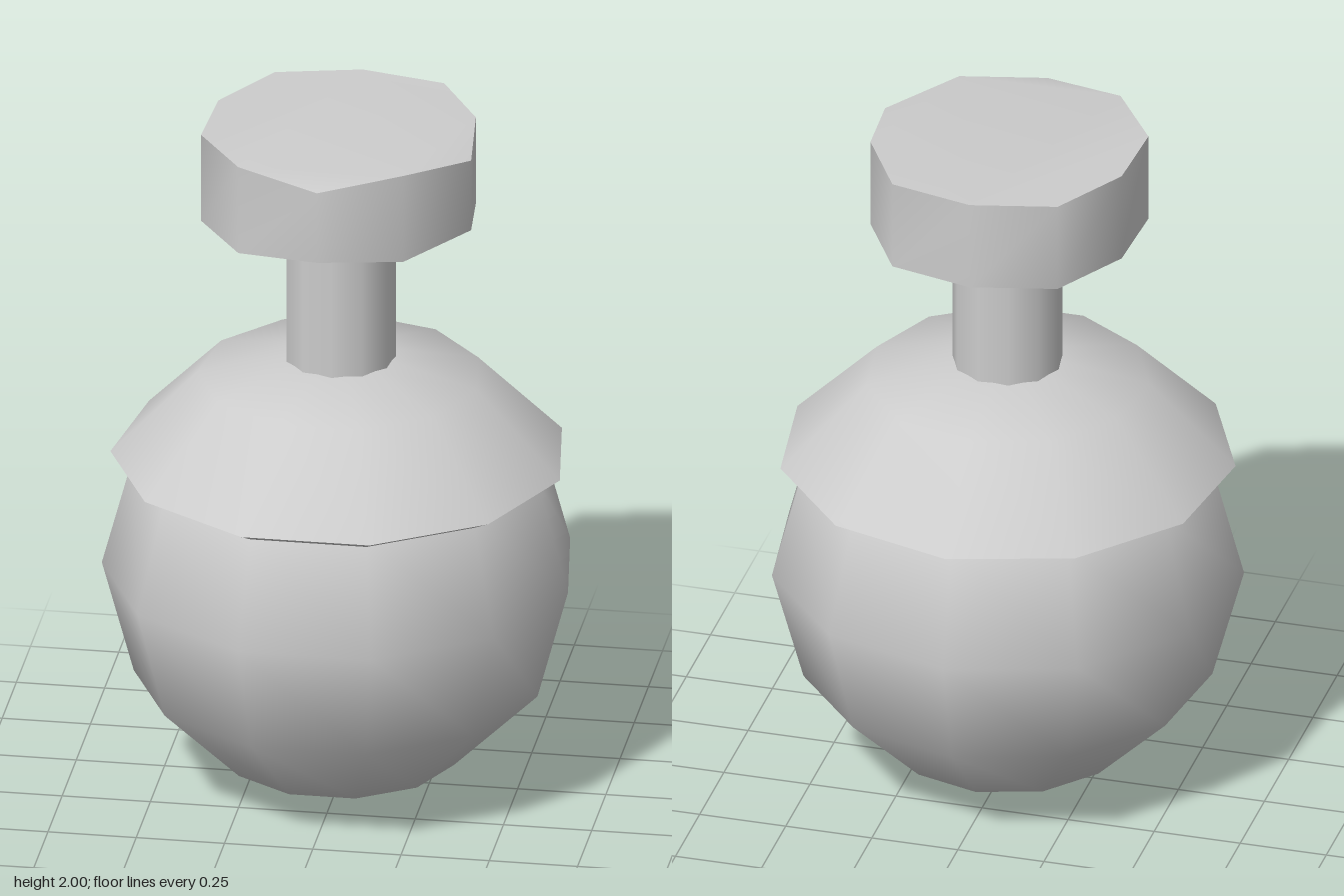
import * as THREE from 'three';
import { toCreasedNormals } from 'three/addons/utils/BufferGeometryUtils.js';

const SIDES = 11;
const CENTRE_Z = 0.014;

// Eleven-sided turned surface with a corner at the back; profile is [radius, y] from bottom to top
function turned(name, profile, material) {
  const points = profile.map(([r, y]) => new THREE.Vector2(r, y));
  const mesh = new THREE.Mesh(new THREE.LatheGeometry(points, SIDES, Math.PI), material);
  mesh.name = name;
  mesh.position.z = CENTRE_Z;
  return mesh;
}

// Irregular knob: corners [x, z, drop]; dropped corners are bevelled at top and bottom
function knobGeometry(corners, bottom, top) {
  const pos = [];
  const n = corners.length;
  const hi = ([x, z, d = 0]) => [x, top - d, z];
  const lo = ([x, z, d = 0]) => [x, bottom + d, z];
  const tri = (a, b, c) => pos.push(...a, ...b, ...c);
  const caps = (a, b, c) => {
    tri(hi(a), hi(c), hi(b));
    tri(lo(a), lo(b), lo(c));
  };
  corners.forEach((a, i) => {
    const b = corners[(i + 1) % n];
    tri(lo(b), lo(a), hi(a));
    tri(lo(b), hi(a), hi(b));
    if (a[2]) caps(corners[(i + n - 1) % n], a, b);
  });
  // Flat middle of both end faces
  const flat = corners.filter((c) => !c[2]);
  for (let i = 1; i < flat.length - 1; i++) caps(flat[0], flat[i], flat[i + 1]);
  const geometry = new THREE.BufferGeometry();
  geometry.setAttribute('position', new THREE.Float32BufferAttribute(pos, 3));
  return toCreasedNormals(geometry, 1.0);
}

export function createModel() {
  const model = new THREE.Group();
  model.name = 'knobbedOrb';
  const grey = new THREE.MeshStandardMaterial({ color: 0xcccccc });
  grey.name = 'plain grey';

  // Round body, pointed at the bottom
  const body = [];
  for (let i = 0; i <= 6; i++) {
    const a = (i / 6) * Math.PI;
    body.push([0.667 * Math.sin(a), 0.66 - 0.66 * Math.cos(a)]);
  }
  model.add(turned('body', body, grey));

  // Overhanging domed collar and its narrow underside
  model.add(turned('collar', [[0.643, 1.0], [0.4, 1.245], [0.15, 1.3], [0, 1.305]], grey));
  model.add(turned('collarUnderside', [[0.57, 0.97], [0.585, 0.97], [0.643, 1.0]], grey));

  // Neck
  const neck = new THREE.Mesh(new THREE.CylinderGeometry(0.156, 0.156, 0.48, SIDES), grey);
  neck.name = 'neck';
  neck.position.set(0, 1.51, CENTRE_Z);
  model.add(neck);

  // Knob on top
  const corners = [
    [0, -0.38], [0.24, -0.323], [0.365, -0.105], [0.39, 0.135, 0.025], [0.228, 0.325],
    [0, 0.425, 0.025], [-0.237, 0.338], [-0.375, 0.135], [-0.365, -0.105], [-0.24, -0.323],
  ];
  const knob = new THREE.Mesh(knobGeometry(corners, 1.737, 2), grey);
  knob.name = 'knob';
  model.add(knob);

  return model;
}
